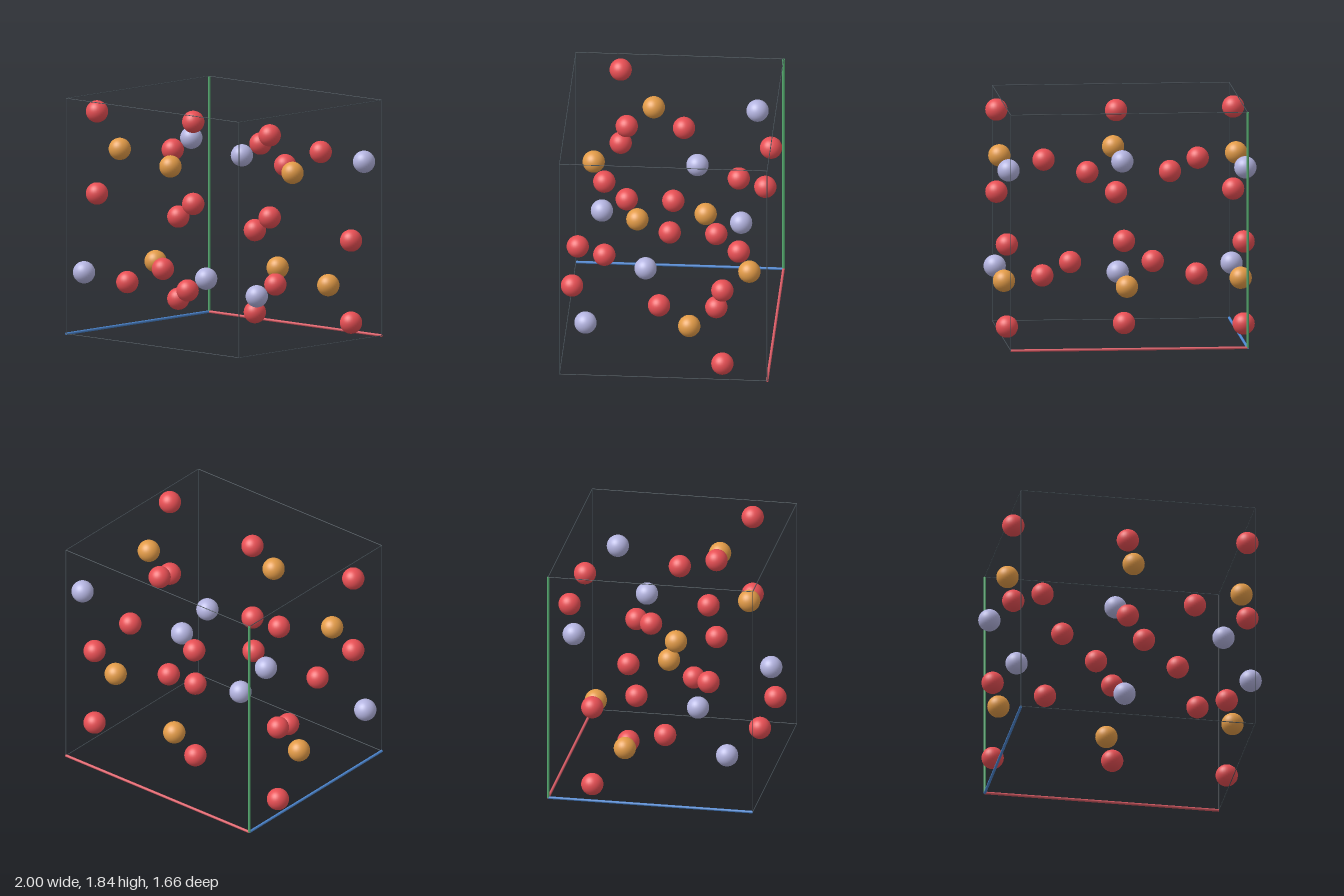
import * as THREE from 'three';

const HX = 0.914, HY = 0.915, HZ = 0.8;   // half sizes of the cell
const MID = 0.926;                        // height of the cell centre
const ATOM_R = 0.086, EDGE_R = 0.003, AXIS_R = 0.0105;

function material(name, color) {
  const m = new THREE.MeshStandardMaterial({ color });
  m.name = name;
  return m;
}

export function createModel() {
  const model = new THREE.Group();
  model.name = 'crystalCell';

  const red = material('red', 0xec5156);
  const orange = material('orange', 0xe29b48);
  const lavender = material('lavender', 0xb4b4e0);
  const slate = material('slate', 0x475158);
  const axisRed = material('axisRed', 0xdb5c66);
  const axisGreen = material('axisGreen', 0x56ab70);
  const axisBlue = material('axisBlue', 0x4c86d0);

  // Atoms, placed relative to the cell centre
  const ball = new THREE.SphereGeometry(ATOM_R, 32, 20);
  function atom(name, mat, x, y, z) {
    const mesh = new THREE.Mesh(ball, mat);
    mesh.name = name;
    mesh.position.set(x, MID + y, z);
    model.add(mesh);
  }

  // The lower half is the upper half turned over: y and z change sign
  for (const s of [1, -1]) {
    const y = 0.458 * s;
    atom('orangeAtom', orange, 0, y, 0.6 * s);
    atom('lavenderAtom', lavender, 0, y, -0.2 * s);
    for (const side of [1, -1]) {
      atom('orangeAtom', orange, side * HX, y, 0.2 * s);
      atom('lavenderAtom', lavender, side * HX, y, -0.6 * s);
      atom('redAtom', red, side * 0.319, y, -0.745 * s);
      atom('redAtom', red, side * 0.595, y, -0.055 * s);
    }
    for (const dy of [0.319, -0.319]) {
      atom('redAtom', red, 0, y + dy, 0.345 * s);
      for (const side of [1, -1]) atom('redAtom', red, side * HX, y + dy, 0.455 * s);
    }
  }

  // Rods along the cell edges
  const up = new THREE.Vector3(0, 1, 0);
  function rod(name, mat, radius, a, b) {
    const dir = b.clone().sub(a);
    const mesh = new THREE.Mesh(new THREE.CylinderGeometry(radius, radius, dir.length(), 12), mat);
    mesh.name = name;
    mesh.position.copy(a).add(b).multiplyScalar(0.5);
    mesh.quaternion.setFromUnitVectors(up, dir.normalize());
    model.add(mesh);
  }
  const corner = (s) => new THREE.Vector3(s[0] * HX, MID + s[1] * HY, s[2] * HZ);

  // Four edges per direction; those at the rear lower right corner are thick coloured axes
  const axes = [['xAxis', axisRed], ['yAxis', axisGreen], ['zAxis', axisBlue]];
  axes.forEach(([name, mat], i) => {
    for (const p of [-1, 1]) for (const q of [-1, 1]) {
      const from = [0, 0, 0];
      from[i] = -1;
      from[(i + 1) % 3] = p;
      from[(i + 2) % 3] = q;
      const to = from.slice();
      to[i] = 1;
      const isAxis = p < 0 && q < 0;
      rod(isAxis ? name : 'cellEdge', isAxis ? mat : slate, isAxis ? AXIS_R : EDGE_R, corner(from), corner(to));
    }
  });

  return model;
}
